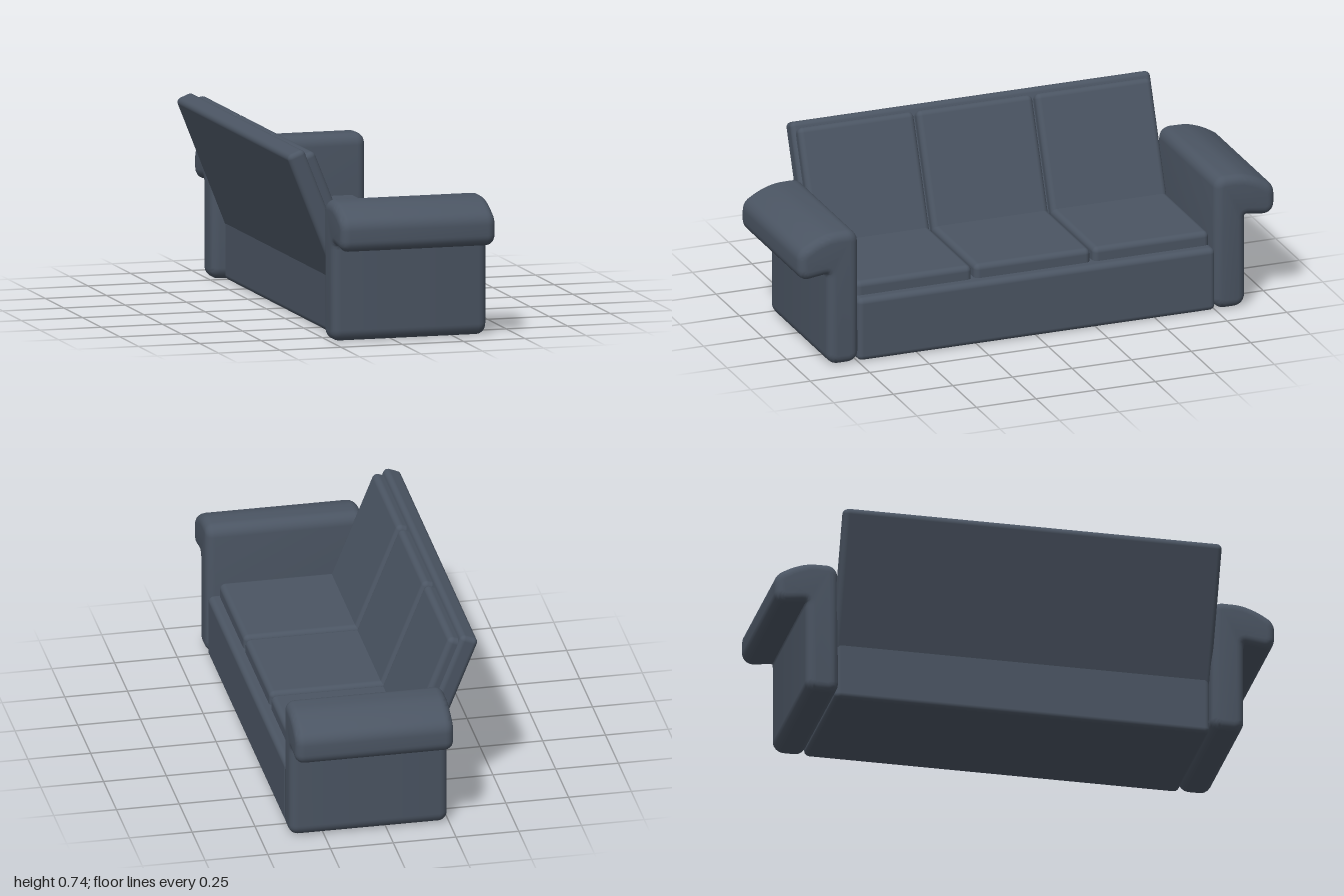
import * as THREE from 'three';
import { toCreasedNormals } from 'three/addons/utils/BufferGeometryUtils.js';
import { RoundedBoxGeometry } from 'three/addons/geometries/RoundedBoxGeometry.js';

const RECLINE = Math.atan(0.4);

// Closed outline from [x, y, cornerRadius] points
function roundedShape(points) {
  const shape = new THREE.Shape();
  const n = points.length;
  points.forEach(([x, y, r], i) => {
    const corner = new THREE.Vector2(x, y);
    const toward = ([px, py]) => new THREE.Vector2(px - x, py - y).setLength(r).add(corner);
    const a = toward(points[(i + n - 1) % n]);
    const b = toward(points[(i + 1) % n]);
    if (i === 0) shape.moveTo(a.x, a.y);
    else shape.lineTo(a.x, a.y);
    shape.quadraticCurveTo(x, y, b.x, b.y);
  });
  shape.closePath();
  return shape;
}

// Extrusion centred on its depth; the bevel grows outward from the outline
function softExtrude(points, length, bevel) {
  const geometry = new THREE.ExtrudeGeometry(roundedShape(points), {
    depth: length - 2 * bevel,
    bevelThickness: bevel,
    bevelSize: bevel,
    bevelSegments: 5,
    curveSegments: 6,
  });
  geometry.translate(0, 0, bevel - length / 2);
  return toCreasedNormals(geometry, 0.7);
}

export function createModel() {
  const sofa = new THREE.Group();
  sofa.name = 'sofa';
  const upholstery = new THREE.MeshStandardMaterial({ color: 0x4b5563 });
  upholstery.name = 'slate upholstery';

  function add(name, geometry, x, y, z) {
    const mesh = new THREE.Mesh(geometry, upholstery);
    mesh.name = name;
    mesh.position.set(x, y, z);
    sofa.add(mesh);
    return mesh;
  }

  // Base block, set in from the rear of the arms
  add('base', new RoundedBoxGeometry(0.575, 0.26, 1.5, 4, 0.022), 0.0925, 0.13, 0);

  // Reclined back slab, sunk into the base
  const backPanel = add('backPanel', new RoundedBoxGeometry(0.074, 0.617, 1.51, 4, 0.02), -0.245, 0.449, 0);
  backPanel.rotation.z = RECLINE;

  // Rolled arms with an outward overhang, turned to run front to back
  const armGeometry = softExtrude([
    [0.78, 0.035, 0.012],
    [0.842, 0.035, 0.012],
    [0.842, 0.42, 0.055],
    [0.965, 0.403, 0.012],
    [0.965, 0.467, 0.014],
    [0.915, 0.496, 0.02],
    [0.86, 0.515, 0.025],
    [0.783, 0.516, 0.012],
  ], 0.63, 0.035);
  for (const side of [1, -1]) {
    const arm = add(side > 0 ? 'armFront' : 'armRear', armGeometry, 0.07, 0, 0);
    arm.rotation.y = -side * Math.PI / 2;
  }

  // Three seat cushions and three back cushions
  const seatGeometry = new RoundedBoxGeometry(0.48, 0.1, 0.486, 4, 0.022);
  const backGeometry = new RoundedBoxGeometry(0.075, 0.49, 0.486, 4, 0.022);
  for (const i of [-1, 0, 1]) {
    add('seatCushion' + (i + 2), seatGeometry, 0.096, 0.265, i * 0.498);
    const back = add('backCushion' + (i + 2), backGeometry, -0.223, 0.498, i * 0.498);
    back.rotation.z = RECLINE;
  }

  return sofa;
}
